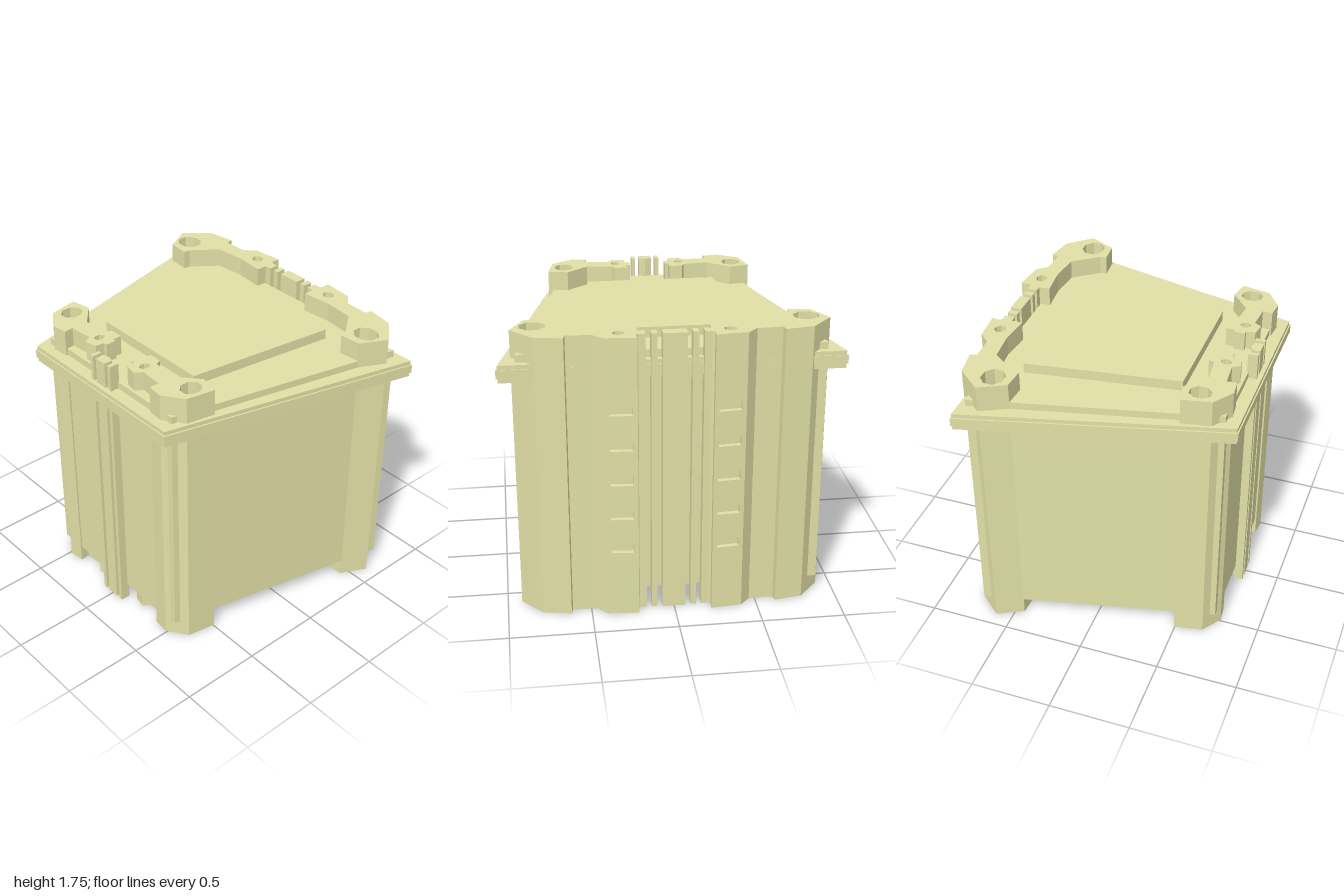
import * as THREE from 'three';

const sand = new THREE.MeshStandardMaterial({ color: 0xe2e0a6, side: THREE.DoubleSide });
sand.name = 'sand';

// Upright prism from a plan outline of [x, z] points; side = -1 mirrors it in z.
// The bottom and top caps can be left open.
function prism(name, plan, y0, y1, { holes = [], side = 1, bottom = false, top = true } = {}) {
  const toVec = ([x, z]) => new THREE.Vector2(x, -z * side);
  const shape = new THREE.Shape(plan.map(toVec));
  for (const [cx, cz, rx, rz] of holes) {
    const ring = [];
    for (let i = 0; i < 8; i++) {
      const a = ((i + 0.5) / 8) * Math.PI * 2;
      ring.push(toVec([cx + rx * Math.cos(a), cz + rz * Math.sin(a)]));
    }
    shape.holes.push(new THREE.Path(ring));
  }
  const geo = new THREE.ExtrudeGeometry(shape, { depth: y1 - y0, bevelEnabled: false });
  geo.rotateX(-Math.PI / 2).translate(0, y0, 0);

  // Keep the walls and only the wanted caps
  const normal = geo.attributes.normal;
  const index = [];
  for (let i = 0; i < normal.count; i += 3) {
    const ny = normal.getY(i);
    if ((ny < -0.9 && !bottom) || (ny > 0.9 && !top)) continue;
    index.push(i, i + 1, i + 2);
  }
  geo.setIndex(index);
  geo.clearGroups();
  const mesh = new THREE.Mesh(geo, sand);
  mesh.name = name;
  return mesh;
}

// Symmetric trapezoid plan: half depth z0 at x0, z1 at x1
const trapezoid = (x0, z0, x1, z1) => [[x0, -z0], [x1, -z1], [x1, z1], [x0, z0]];
const rect = (x0, x1, z0, z1) => [[x0, z0], [x1, z0], [x1, z1], [x0, z1]];

const HEIGHT = 1.753;

// Plan of the wide column, split where the vent slots cut in
const wideStart = [
  [0.436, 0.70], [0.445, 0.832], [0.605, 0.915], [0.747, 0.79], [0.777, 0.622],
  [0.735, 0.613], [0.74, 0.465], [0.804, 0.405],
];
const slot = [[0.807, 0.378], [0.777, 0.378], [0.787, 0.246], [0.817, 0.246]];
const wideEnd = [
  [0.82, 0.219], [0.768, 0.222], [0.757, 0.208], [0.757, 0.166], [0.697, 0.166],
  [0.697, 0.208], [0.63, 0.21], [0.648, 0.39], [0.63, 0.575], [0.475, 0.695],
];
const wideHoles = [[0.555, 0.785, 0.072, 0.08], [0.725, 0.315, 0.034, 0.038]];

const narrowPlan = [
  [-0.755, 0.49], [-0.67, 0.613], [-0.495, 0.647], [-0.47, 0.525], [-0.58, 0.395],
  [-0.565, 0.235], [-0.53, 0.22], [-0.53, 0.137], [-0.585, 0.137], [-0.585, 0.115],
  [-0.65, 0.115], [-0.65, 0.14], [-0.705, 0.145], [-0.72, 0.22], [-0.675, 0.25],
  [-0.685, 0.395], [-0.745, 0.39],
];
const narrowHoles = [[-0.58, 0.545, 0.068, 0.06], [-0.63, 0.207, 0.034, 0.026]];

// Hollow column: open wall bands, slotted bands with thin ledges, capped at the top
function wideColumn(side) {
  const column = new THREE.Group();
  column.name = 'wideColumn';
  const solid = [...wideStart, ...wideEnd];
  const slotted = [...wideStart, ...slot, ...wideEnd];
  const band = { holes: wideHoles, side, top: false };
  let y = 0;
  for (let i = 0; i < 5; i++) {
    const y0 = 0.413 + i * 0.219, y1 = y0 + 0.056;
    column.add(prism('columnBand', solid, y, y0, band));
    column.add(prism('ventBand', slotted, y0, y1, band));
    column.add(prism('ventSill', slot, y0 - 0.003, y0, { side, bottom: true }));
    column.add(prism('ventHead', slot, y1, y1 + 0.003, { side, bottom: true }));
    y = y1;
  }
  column.add(prism('columnTop', solid, y, HEIGHT, { holes: wideHoles, side }));
  return column;
}

export function createModel() {
  const model = new THREE.Group();
  model.name = 'container';

  // Tapered hollow body, open below, and raised lid
  model.add(prism('body', trapezoid(-0.735, 0.56, 0.692, 0.89), 0.105, 1.635));
  model.add(prism('lidPanel', trapezoid(-0.435, 0.4, 0.487, 0.53), 1.635, 1.697));

  // Rim in three tiers, the middle one widest
  const rimTier = trapezoid(-0.812, 0.592, 0.733, 0.99);
  const closed = { bottom: true };
  model.add(prism('rimLower', rimTier, 1.488, 1.515, closed));
  model.add(prism('rimMiddle', trapezoid(-0.82, 0.6, 0.738, 1.0), 1.515, 1.567, closed));
  model.add(prism('rimUpper', rimTier, 1.567, 1.592, closed));

  // Corner columns, and slim ribs beside the centre posts
  for (const side of [1, -1]) {
    model.add(wideColumn(side));
    model.add(prism('narrowColumn', narrowPlan, 0, HEIGHT, { holes: narrowHoles, side }));
    model.add(prism('wideSideRib', rect(0.697, 0.757, 0.1, 0.135), 0, HEIGHT, { side }));
    model.add(prism('narrowSideRib', rect(-0.785, -0.725, 0.065, 0.09), 0, HEIGHT, { side }));
  }

  // Centre posts
  model.add(prism('wideSidePost', rect(0.697, 0.764, -0.07, 0.07), 0, HEIGHT));
  model.add(prism('narrowSidePost', [
    [-0.785, -0.04], [-0.73, -0.04], [-0.72, 0], [-0.73, 0.04], [-0.785, 0.04],
  ], 0, HEIGHT));

  return model;
}
